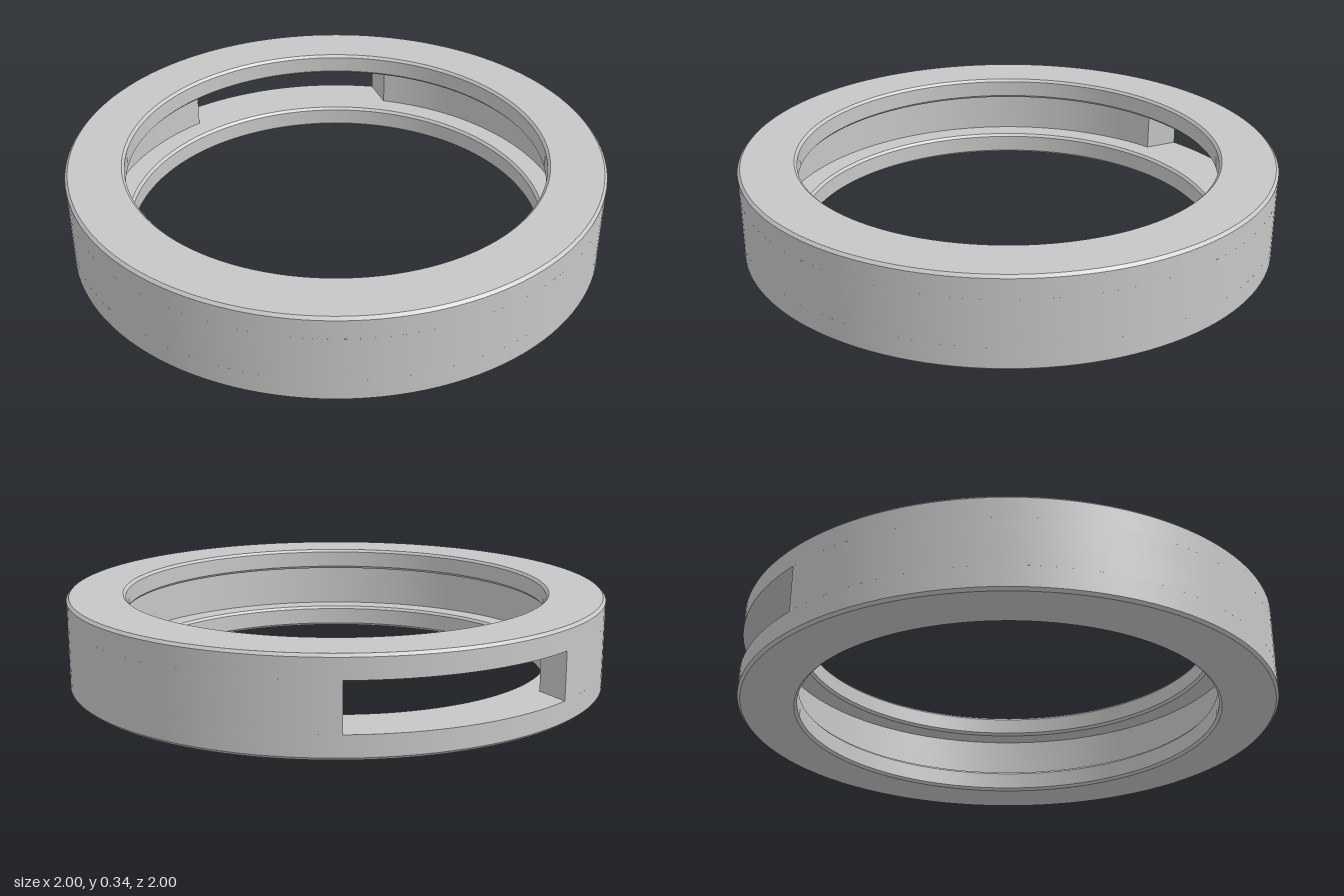
import * as THREE from 'three';
import { toCreasedNormals } from 'three/addons/utils/BufferGeometryUtils.js';

const OUTER = 1, INNER = 0.785, GROOVE = 0.876; // radii
const HEIGHT = 0.34, LOW = 0.085, HIGH = 0.257; // groove and slot run from LOW to HIGH
const SLOT_MIN = -0.333, SLOT_MAX = 0.484;      // slot end walls in x, at the back
const C = 0.01;                                 // chamfer size

export function createModel() {
  const group = new THREE.Group();
  group.name = 'slottedRing';
  const metal = new THREE.MeshStandardMaterial({ color: 0xc6c6c6 });
  metal.name = 'light grey';

  const add = (name, geometry) => {
    const mesh = new THREE.Mesh(toCreasedNormals(geometry, 0.5), metal);
    mesh.name = name;
    group.add(mesh);
  };

  // Flanges: closed profiles turned around y, chamfered on the outer rim and the bore
  const flange = (name, points) =>
    add(name, new THREE.LatheGeometry([...points, points[0]].map(([r, y]) => new THREE.Vector2(r, y)), 128));

  flange('lowerFlange', [
    [INNER + C, 0], [OUTER - C, 0], [OUTER, C], [OUTER, LOW],
    [INNER + C, LOW], [INNER, LOW - C], [INNER, C],
  ]);
  flange('upperFlange', [
    [INNER + C, HIGH], [OUTER, HIGH], [OUTER, HEIGHT - C], [OUTER - C, HEIGHT],
    [INNER + C, HEIGHT], [INNER, HEIGHT - C], [INNER, HIGH + C],
  ]);

  // Groove wall: a thin ring left open at the back, with parallel slot ends
  const angle = (x, r) => Math.acos(x / r);
  const shape = new THREE.Shape();
  shape.absarc(0, 0, OUTER, angle(SLOT_MIN, OUTER), angle(SLOT_MAX, OUTER) + Math.PI * 2, false);
  shape.absarc(0, 0, GROOVE, angle(SLOT_MAX, GROOVE) + Math.PI * 2, angle(SLOT_MIN, GROOVE), true);
  shape.closePath();
  const wall = new THREE.ExtrudeGeometry(shape, { depth: HIGH - LOW, bevelEnabled: false, curveSegments: 60 });
  wall.rotateX(-Math.PI / 2).translate(0, LOW, 0);
  add('grooveWall', wall);

  return group;
}
